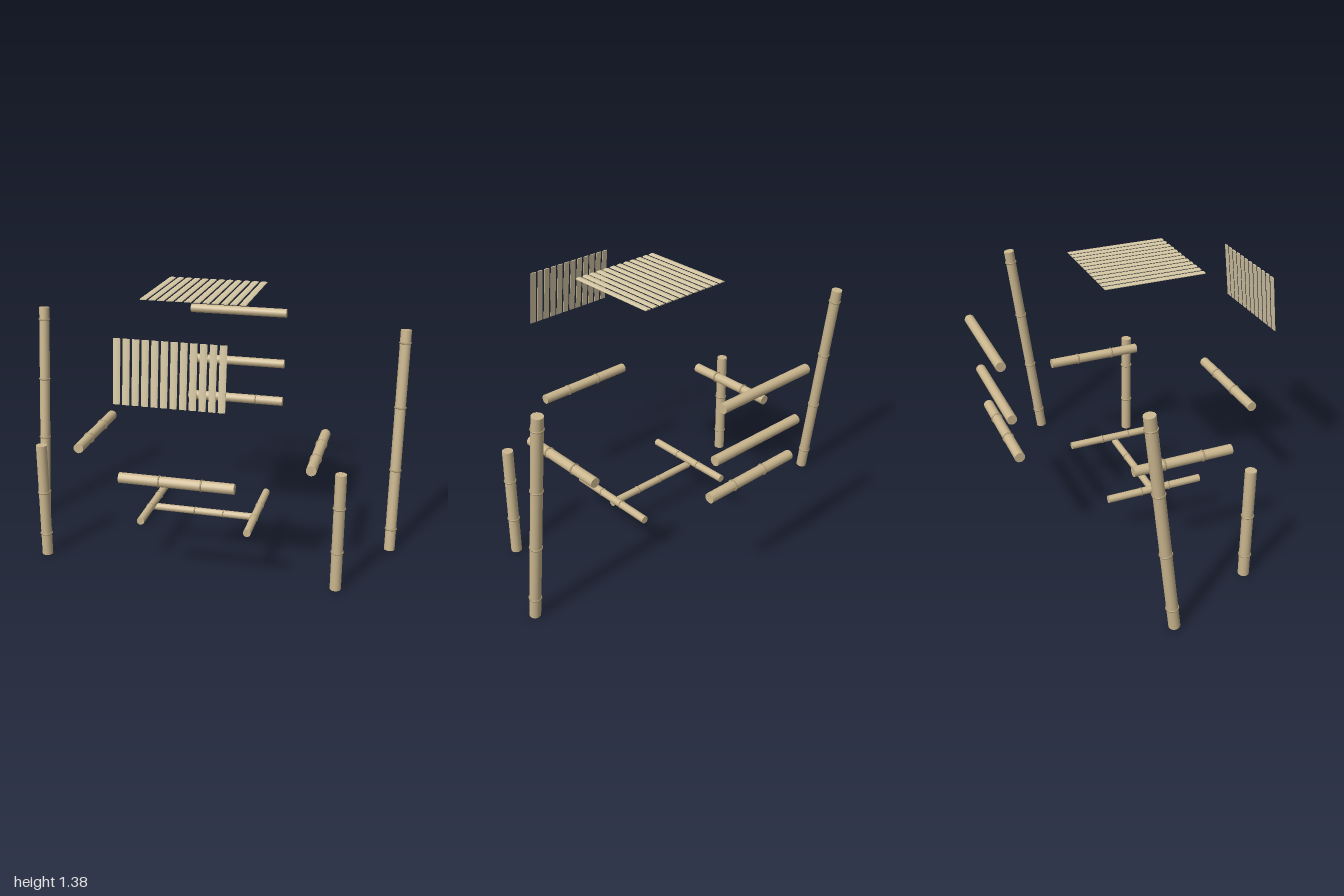
import * as THREE from 'three';

const bamboo = new THREE.MeshStandardMaterial({ color: 0xcbb78f });
const nodeMat = new THREE.MeshStandardMaterial({ color: 0xa8956f });
const slatMat = new THREE.MeshStandardMaterial({ color: 0xd6c8a4 });

// Bamboo pole between two points, with node rings at fractions of its length
function pole(name, from, to, radius, nodes = [], tube = 0.0045) {
  const a = new THREE.Vector3(...from), b = new THREE.Vector3(...to);
  const length = a.distanceTo(b);
  const g = new THREE.Group();
  g.name = name;
  const stem = new THREE.Mesh(new THREE.CylinderGeometry(radius, radius, length, 14), bamboo);
  stem.name = name + 'Stem';
  g.add(stem);
  for (const f of nodes) {
    const ring = new THREE.Mesh(new THREE.TorusGeometry(radius, tube, 8, 18), nodeMat);
    ring.name = name + 'Node';
    ring.rotation.x = Math.PI / 2;
    ring.position.y = (f - 0.5) * length;
    g.add(ring);
  }
  g.position.copy(a).add(b).multiplyScalar(0.5);
  g.quaternion.setFromUnitVectors(new THREE.Vector3(0, 1, 0), b.sub(a).normalize());
  return g;
}

// Row of split-bamboo strips: flat underneath, slightly crowned on top, running along z
function slatPanel(name, length) {
  const w = 0.032, t = 0.003, count = 12, pitch = 0.0428;
  const s = new THREE.Shape();
  s.moveTo(-w / 2, -t);
  s.lineTo(w / 2, -t);
  s.lineTo(w / 2, 0);
  s.quadraticCurveTo(0, t * 2, -w / 2, 0);
  s.closePath();
  const geo = new THREE.ExtrudeGeometry(s, { depth: length, bevelEnabled: false, curveSegments: 4 });
  geo.translate(0, 0, -length / 2);
  const g = new THREE.Group();
  g.name = name;
  for (let i = 0; i < count; i++) {
    const slat = new THREE.Mesh(geo, slatMat);
    slat.name = name + 'Slat';
    slat.position.x = (i - (count - 1) / 2) * pitch;
    g.add(slat);
  }
  return g;
}

export function createModel() {
  const model = new THREE.Group();
  model.name = 'explodedBambooChair';
  const x0 = -0.246, x1 = 0.299, xMid = 0.0275;

  // Raked back legs
  for (const [side, x] of [['right', -0.968], ['left', 0.968]])
    model.add(pole(side + 'BackLeg', [x, 0.011, -0.157], [x, 1.163, -0.297], 0.028, [0.098, 0.373, 0.658, 0.943]));

  // Front legs, one turned end for end
  model.add(pole('rightFrontLeg', [-0.757, 0.008, 0.316], [-0.757, 0.612, 0.316], 0.0278, [0.194, 0.575]));
  model.add(pole('leftFrontLeg', [0.743, 0.008, 0.316], [0.743, 0.612, 0.316], 0.0278, [0.331, 0.711]));

  // Side seat rails
  for (const [side, x] of [['right', -0.56], ['left', 0.602]])
    model.add(pole(side + 'SeatRail', [x, 0.613, 0.316], [x, 0.613, -0.192], 0.0255, [0.3, 0.695]));

  // Cross rails: name, y, z, radius, nodes
  const rails = [
    ['frontSeatRail', 0.613, 0.605, 0.0255, [0.352, 0.718]],
    ['backSeatRail', 0.613, -0.638, 0.0255, [0.352, 0.718]],
    ['lowerBackRail', 0.826, -0.664, 0.0243, []],
    ['topBackRail', 1.108, -0.7, 0.0243, []],
    ['crossStretcher', 0.22, 0.064, 0.0185, [0.4, 0.677]],
  ];
  for (const [name, y, z, r, nodes] of rails)
    model.add(pole(name, [x0, y, z], [x1, y, z], r, nodes, r < 0.02 ? 0.003 : 0.004));

  // Side stretchers
  for (const [side, x] of [['right', x0], ['left', x1]])
    model.add(pole(side + 'Stretcher', [x, 0.25, 0.314], [x, 0.25, -0.193], 0.0195, [0.345, 0.645], 0.003));

  // Seat panel lifted above, back panel pulled forward and leaning back
  const seat = slatPanel('seat', 0.506);
  seat.position.set(xMid, 1.388, 0.062);
  model.add(seat);
  const back = slatPanel('backrest', 0.291);
  back.position.set(xMid, 1.158, 0.705);
  back.rotation.x = Math.PI / 2 - Math.atan2(0.033, 0.289);
  model.add(back);

  return model;
}
